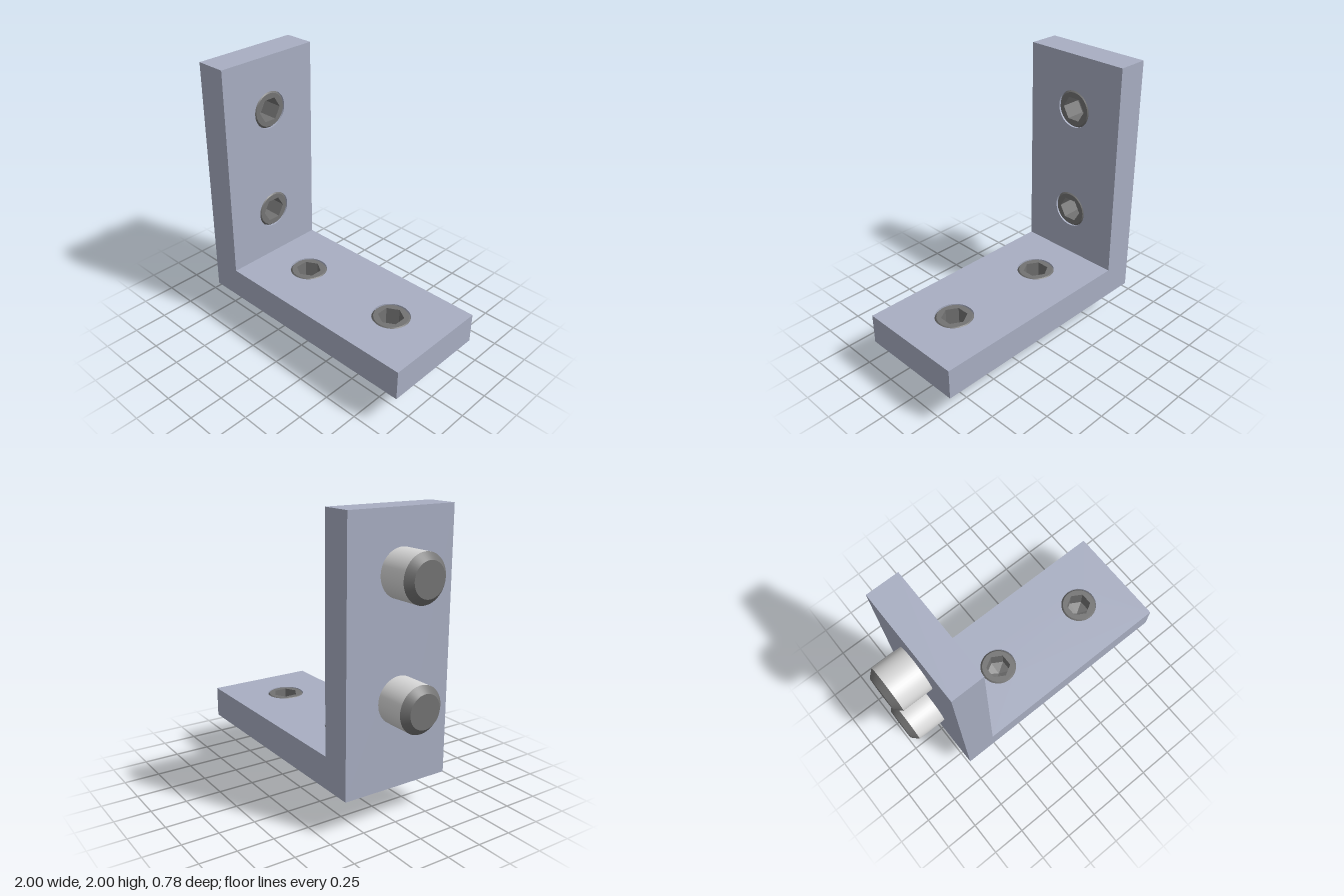
import * as THREE from 'three';

const T = 0.22;      // plate thickness
const LEG = 1.75;    // outer leg length
const HALF = 0.39;   // half plate depth
const R = 0.155;     // screw radius
const TIP = 0.112;   // radius at the screw's chamfered ends
const LEN = 0.47;    // screw length
const HEX = 0.09;    // socket corner radius
const SCREWS = [0.58, 1.365]; // distances from the outer corner

export function createModel() {
  const plateMat = new THREE.MeshStandardMaterial({ color: 0xa8aec2 });
  plateMat.name = 'blueGreyPlate';
  const threadMat = new THREE.MeshStandardMaterial({ color: 0xd8d8d8 });
  threadMat.name = 'lightSteel';
  const darkMat = new THREE.MeshStandardMaterial({ color: 0x737373 });
  darkMat.name = 'darkSteel';

  function add(parent, name, geometry, material) {
    const mesh = new THREE.Mesh(geometry, material);
    mesh.name = name;
    parent.add(mesh);
  }

  // Surface of revolution from [radius, y] pairs; upward profiles face outward
  const lathe = (pts, segments = 48) =>
    new THREE.LatheGeometry(pts.map(([r, y]) => new THREE.Vector2(r, y)), segments);

  // Socket set screw with its top at y = 0
  function makeScrew() {
    const screw = new THREE.Group();
    screw.name = 'setScrew';
    const c = R - TIP;
    add(screw, 'screwBody', lathe([[R, c - LEN], [R, -c]]), threadMat);
    add(screw, 'topChamfer', lathe([[R, -c], [TIP + 0.008, 0]]), darkMat);
    add(screw, 'tipChamfer', lathe([[TIP, -LEN], [R, c - LEN]]), darkMat);
    add(screw, 'tipFace', lathe([[0, -LEN], [TIP, -LEN]]), darkMat);

    // Top face around the hexagonal opening
    const face = new THREE.Shape().absarc(0, 0, TIP + 0.008, 0, Math.PI * 2);
    const hex = [];
    for (let i = 0; i < 6; i++) {
      const a = i * Math.PI / 3;
      hex.push(new THREE.Vector2(HEX * Math.sin(a), HEX * Math.cos(a)));
    }
    face.holes.push(new THREE.Path(hex));
    add(screw, 'topFace', new THREE.ShapeGeometry(face, 24).rotateX(-Math.PI / 2), darkMat);

    // Hexagonal socket with a conical floor
    const socket = lathe([[HEX, 0], [HEX, -0.15], [0, -0.19]], 6).toNonIndexed();
    socket.computeVertexNormals();
    add(screw, 'hexSocket', socket, darkMat);
    return screw;
  }

  // One plate with two holes and screws; length along x, inner face at y = 0
  function makeLeg(name, start) {
    const leg = new THREE.Group();
    leg.name = name;
    const outline = new THREE.Shape([
      new THREE.Vector2(start, -HALF), new THREE.Vector2(LEG, -HALF),
      new THREE.Vector2(LEG, HALF), new THREE.Vector2(start, HALF),
    ]);
    for (const u of SCREWS) {
      outline.holes.push(new THREE.Path().absarc(u, 0, 0.133, 0, Math.PI * 2, true));
      const screw = makeScrew();
      screw.position.x = u;
      leg.add(screw);
    }
    const plate = new THREE.ExtrudeGeometry(outline, { depth: T, bevelEnabled: false, curveSegments: 24 });
    add(leg, name + 'Plate', plate.rotateX(-Math.PI / 2).translate(0, -T, 0), plateMat);
    return leg;
  }

  const model = new THREE.Group();
  model.name = 'cornerBracket';

  const base = makeLeg('horizontalLeg', T);
  base.position.set(-0.75, LEN, 0);

  // The upright swaps the x and y axes of the base
  const upright = makeLeg('verticalLeg', 0);
  upright.quaternion.setFromAxisAngle(new THREE.Vector3(1, 1, 0).normalize(), Math.PI);
  upright.position.set(LEN - 1, 0.25, 0);
  upright.position.x = -0.75 + T;

  model.add(base, upright);
  return model;
}
